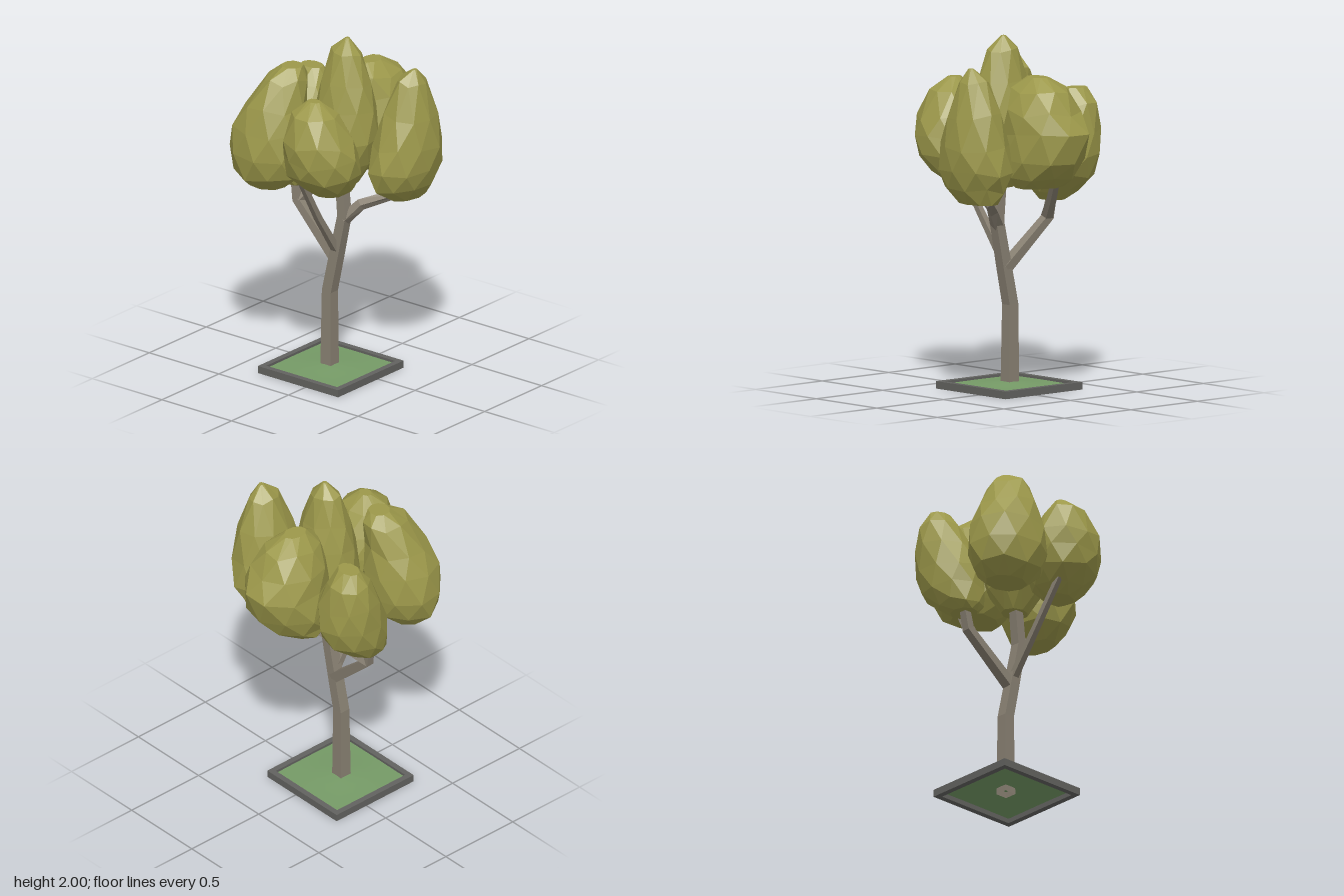
import * as THREE from 'three';

const mat = (name, color, side = THREE.FrontSide) => {
  const m = new THREE.MeshStandardMaterial({ color, side });
  m.name = name;
  return m;
};

// Flat-shaded geometry from corner positions and triangles
function facets(pos, index) {
  const g = new THREE.BufferGeometry();
  g.setAttribute('position', new THREE.Float32BufferAttribute(pos, 3));
  g.setIndex(index);
  const flat = g.toNonIndexed();
  flat.computeVertexNormals();
  return flat;
}

// Square-section limb swept along [x, y, z, halfWidth] stations, open at its foot
function limbGeometry(stations) {
  const pts = stations.map(s => new THREE.Vector3(s[0], s[1], s[2]));
  const pos = [], index = [], last = pts.length - 1;
  pts.forEach((p, i) => {
    const t = new THREE.Vector3();
    if (i > 0) t.add(p.clone().sub(pts[i - 1]).normalize());
    if (i < last) t.add(pts[i + 1].clone().sub(p).normalize());
    t.normalize();
    const u = t.clone().cross(new THREE.Vector3(0, 0, 1)).normalize();
    const v = u.clone().cross(t);
    const h = stations[i][3];
    for (const [a, b] of [[1, 1], [1, -1], [-1, -1], [-1, 1]]) {
      pos.push(...p.clone().addScaledVector(u, a * h).addScaledVector(v, b * h).toArray());
    }
    if (i === last) return;
    for (let k = 0; k < 4; k++) {
      const a = i * 4 + k, b = i * 4 + (k + 1) % 4;
      index.push(a, b, b + 4, a, b + 4, a + 4);
    }
  });
  const e = last * 4;
  index.push(e, e + 1, e + 2, e, e + 2, e + 3);
  return facets(pos, index);
}

// Faceted leaf clump from [y, centreX, centreZ, radiusX, radiusZ] rings, bottom to top,
// each ring turned half a step from the one below
function clumpGeometry(rings, seed) {
  const n = 9, pos = [], index = [], last = rings.length - 1;
  const noise = i => {
    const s = Math.sin(i * 12.99 + seed * 78.23) * 4375.85;
    return (s - Math.floor(s)) * 2 - 1;
  };
  rings.forEach(([y, cx, cz, rx, rz], i) => {
    const inner = i > 0 && i < last;
    for (let k = 0; k < n; k++) {
      const a = (k + i / 2 + seed * 0.37) / n * Math.PI * 2;
      const s = 1.03 + 0.04 * noise(i * n + k);
      const dy = inner ? 0.018 * noise(i * n + k + 200) : 0;
      pos.push(cx + rx * s * Math.cos(a), y + dy, cz - rz * s * Math.sin(a));
      if (i === last) continue;
      const p = i * n + k, q = i * n + (k + 1) % n;
      index.push(p, q, p + n, q, q + n, p + n);
    }
  });
  // Close both ends
  for (let k = 1; k < n - 1; k++) {
    index.push(0, k + 1, k, last * n, last * n + k, last * n + k + 1);
  }
  return facets(pos, index);
}

export function createModel() {
  const group = new THREE.Group();
  const leaf = mat('leaf olive', 0x9c984a);
  const bark = mat('bark grey brown', 0x888072, THREE.DoubleSide);
  const stone = mat('kerb grey', 0x62625f);
  const grass = mat('grass green', 0x759a66, THREE.DoubleSide);
  const add = (name, geometry, material) => {
    const m = new THREE.Mesh(geometry, material);
    m.name = name;
    group.add(m);
  };

  // Square kerb around the planting bed
  const cx = -0.064, cz = -0.053, R = 0.288, r = 0.254;
  const square = (T, h) => new T([[-h, -h], [h, -h], [h, h], [-h, h]].map(c => new THREE.Vector2(...c)));
  const outline = square(THREE.Shape, R);
  outline.holes.push(square(THREE.Path, r));
  const kerb = new THREE.ExtrudeGeometry(outline, { depth: 0.042, bevelEnabled: false });
  kerb.rotateX(-Math.PI / 2);
  kerb.translate(cx, 0, cz);
  add('kerb', kerb, stone);

  // Grass sheet with a slight mound at the trunk
  const lawn = new THREE.PlaneGeometry(2 * r, 2 * r, 8, 8);
  lawn.rotateX(-Math.PI / 2);
  const lp = lawn.attributes.position;
  for (let i = 0; i < lp.count; i++) {
    const d = Math.hypot(lp.getX(i), lp.getZ(i));
    lp.setY(i, 0.027 + 0.02 * Math.exp(-d * d * 40));
  }
  lawn.computeVertexNormals();
  lawn.translate(cx, 0, cz);
  add('grass', lawn, grass);

  // Bent trunk and its branches
  const limbs = {
    trunk: [[-0.065, 0.008, -0.06, 0.037], [-0.063, 0.48, -0.06, 0.032], [-0.062, 0.7, -0.012, 0.031],
      [-0.06, 0.95, 0.042, 0.029], [-0.058, 1.3, 0.01, 0.026]],
    rightBranch: [[-0.065, 0.73, -0.01, 0.02], [-0.24, 0.98, 0.0, 0.017], [-0.41, 1.25, 0.02, 0.015]],
    backBranch: [[-0.06, 0.68, -0.015, 0.029], [-0.03, 0.95, -0.315, 0.024], [-0.02, 1.15, -0.35, 0.02]],
    backFork: [[-0.035, 0.945, -0.31, 0.024], [0.08, 1.06, -0.24, 0.02], [0.22, 1.21, -0.15, 0.017]],
    frontBranch: [[-0.062, 0.93, 0.042, 0.027], [-0.01, 1.02, 0.12, 0.023], [0.16, 1.1, 0.31, 0.021],
      [0.17, 1.2, 0.34, 0.016]],
  };
  for (const [name, stations] of Object.entries(limbs)) add(name, limbGeometry(stations), bark);

  // Leaf clumps
  const clumps = {
    topClump: [[1.15, -0.04, 0.03, 0.07, 0.08], [1.28, -0.04, 0.03, 0.15, 0.16], [1.42, -0.035, 0.03, 0.18, 0.195],
      [1.6, -0.03, 0.03, 0.155, 0.18], [1.76, -0.03, 0.03, 0.125, 0.145], [1.92, -0.025, 0.03, 0.075, 0.09],
      [2.0, -0.02, 0.03, 0.012, 0.012]],
    frontClump: [[1.1, 0.12, 0.35, 0.13, 0.08], [1.18, 0.09, 0.34, 0.2, 0.145], [1.28, 0.1, 0.35, 0.235, 0.175],
      [1.42, 0.105, 0.355, 0.21, 0.175], [1.6, 0.12, 0.37, 0.16, 0.14], [1.79, 0.12, 0.38, 0.09, 0.075],
      [1.86, 0.12, 0.4, 0.015, 0.015]],
    leftClump: [[1.17, 0.22, -0.03, 0.11, 0.15], [1.24, 0.24, 0, 0.19, 0.19], [1.34, 0.27, -0.005, 0.24, 0.215],
      [1.48, 0.3, -0.005, 0.26, 0.215], [1.6, 0.27, 0, 0.22, 0.195], [1.72, 0.25, 0, 0.17, 0.135],
      [1.79, 0.23, 0, 0.07, 0.05]],
    rightClump: [[1.18, -0.3, 0.12, 0.08, 0.09], [1.22, -0.3, 0.12, 0.14, 0.15], [1.31, -0.33, 0.115, 0.195, 0.2],
      [1.41, -0.35, 0.11, 0.2, 0.21], [1.52, -0.37, 0.1, 0.19, 0.19], [1.66, -0.38, 0.09, 0.12, 0.13],
      [1.74, -0.37, 0.08, 0.03, 0.04]],
    backRightClump: [[1.14, -0.32, -0.3, 0.1, 0.12], [1.22, -0.32, -0.29, 0.18, 0.2], [1.33, -0.315, -0.29, 0.21, 0.235],
      [1.48, -0.31, -0.28, 0.2, 0.21], [1.62, -0.29, -0.26, 0.17, 0.17], [1.77, -0.25, -0.22, 0.13, 0.11],
      [1.84, -0.22, -0.2, 0.06, 0.06]],
    backLeftClump: [[1.05, -0.01, -0.33, 0.08, 0.07], [1.1, 0.02, -0.33, 0.13, 0.12], [1.2, 0.07, -0.33, 0.19, 0.165],
      [1.32, 0.1, -0.335, 0.2, 0.175], [1.46, 0.13, -0.34, 0.17, 0.165], [1.6, 0.15, -0.36, 0.12, 0.12],
      [1.69, 0.15, -0.36, 0.05, 0.07]],
  };
  Object.entries(clumps).forEach(([name, rings], i) => add(name, clumpGeometry(rings, i + 1), leaf));

  return group;
}
